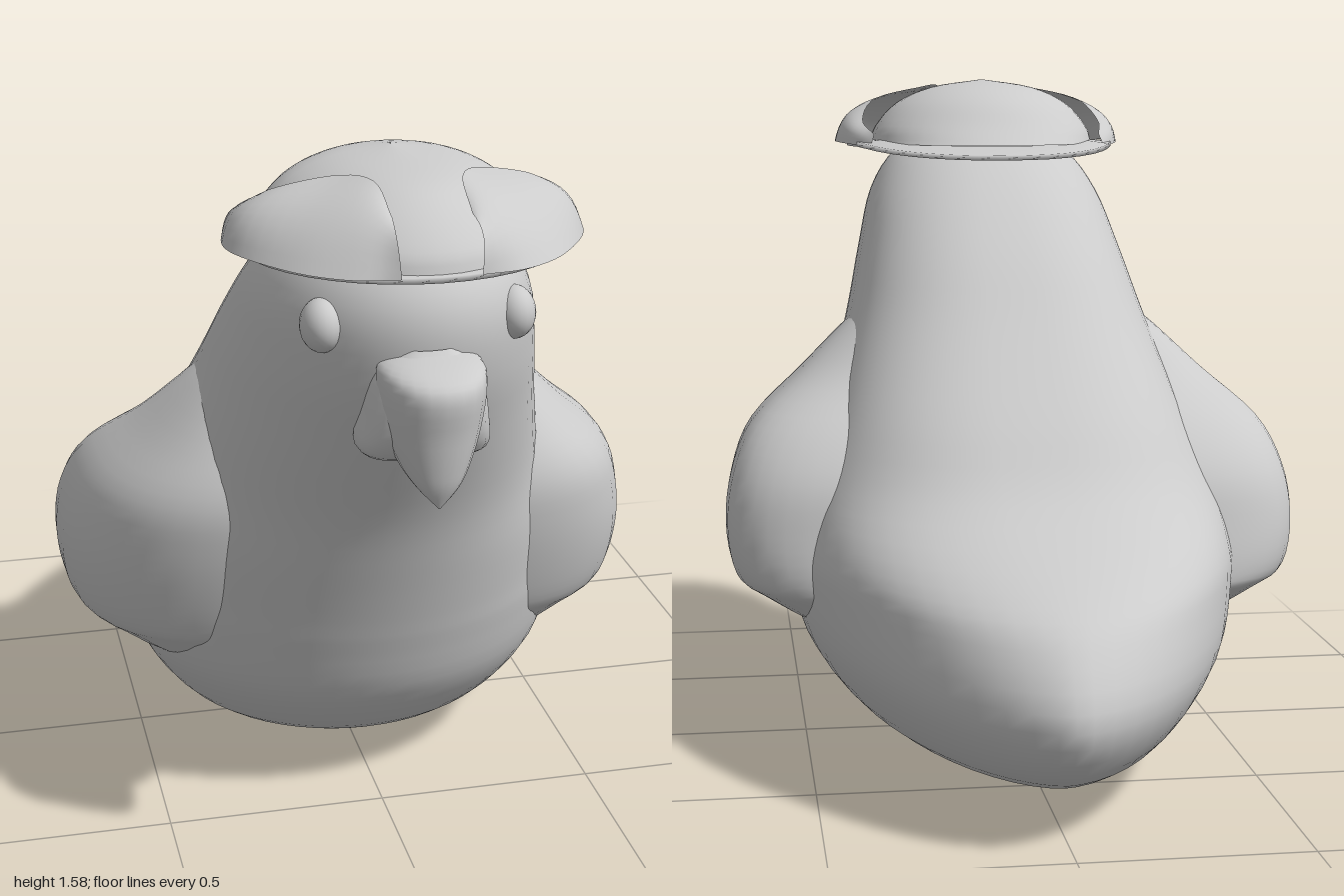
import * as THREE from 'three';

const material = new THREE.MeshStandardMaterial({ color: 0xcccccc, roughness: 0.8, side: THREE.DoubleSide });

function addMesh(parent, name, geometry) {
  const mesh = new THREE.Mesh(geometry, material);
  mesh.name = name;
  parent.add(mesh);
  return mesh;
}

// Shared grid builder: at(row, column) gives a point, columns may wrap around
function surface(rows, cols, wrap, at) {
  const pos = [], index = [];
  for (let i = 0; i < rows; i++) for (let j = 0; j < cols; j++) pos.push(...at(i, j));
  for (let i = 0; i < rows - 1; i++) {
    for (let j = 0; j < (wrap ? cols : cols - 1); j++) {
      const k = (j + 1) % cols;
      const a = i * cols + j, b = i * cols + k, c = b + cols, d = a + cols;
      index.push(a, b, c, a, c, d);
    }
  }
  const geometry = new THREE.BufferGeometry();
  geometry.setAttribute('position', new THREE.Float32BufferAttribute(pos, 3));
  geometry.setIndex(index);
  geometry.computeVertexNormals();
  return geometry;
}

// Loft of horizontal slices. Station: [y, halfWidth, zFront, zBack, zWidest, backPower]
function loft(stations, { cx = 0, front = 1, steps = 4, segments = 40, lift = () => 0 } = {}) {
  const spline = (cols) => new THREE.CatmullRomCurve3(
    stations.map((s) => new THREE.Vector3(s[cols[0]], s[cols[1]], s[cols[2]])), false, 'catmullrom', 0.5);
  const first = spline([0, 1, 2]), second = spline([3, 4, 5]);
  const rows = (stations.length - 1) * steps + 1;
  const power = (v, p) => Math.sign(v) * Math.pow(Math.abs(v), p);
  return surface(rows, segments, true, (i, j) => {
    const { x: y, y: w, z: zf } = first.getPoint(i / (rows - 1));
    const { x: zb, y: zc, z: back } = second.getPoint(i / (rows - 1));
    const a = (j / segments) * Math.PI * 2, c = Math.cos(a);
    const p = c > 0 ? front : back;
    const z = zc + power(c, p) * (c > 0 ? zf - zc : zc - zb);
    return [cx + Math.max(w, 0.001) * power(Math.sin(a), p), y + lift(z), z];
  });
}

export function createModel() {
  const bird = new THREE.Group();
  bird.name = 'bird';

  // Body, tail and head in one smooth skin
  addMesh(bird, 'body', loft([
    [0.005, 0.001, 0.02, -0.06, 0, 1],
    [0.025, 0.14, 0.16, -0.3, 0, 1],
    [0.06, 0.26, 0.25, -0.62, 0, 1.1],
    [0.13, 0.4, 0.37, -0.89, 0, 1.2],
    [0.27, 0.5, 0.495, -1, 0, 1.2],
    [0.42, 0.53, 0.555, -0.92, 0, 1.15],
    [0.51, 0.52, 0.585, -0.78, 0.02, 1],
    [0.64, 0.49, 0.63, -0.51, 0.08, 0.85],
    [0.8, 0.43, 0.69, -0.35, 0.16, 0.78],
    [1, 0.37, 0.79, -0.15, 0.3, 0.78],
    [1.16, 0.33, 0.86, 0, 0.42, 0.8],
    [1.3, 0.29, 0.875, 0.16, 0.52, 0.85],
    [1.4, 0.22, 0.82, 0.31, 0.56, 0.9],
    [1.46, 0.1, 0.7, 0.45, 0.58, 1],
    [1.47, 0.001, 0.59, 0.57, 0.58, 1],
  ], { segments: 56 }));

  // Folded wings bulging from the sides
  for (const side of [1, -1]) {
    addMesh(bird, side > 0 ? 'leftWing' : 'rightWing', loft([
      [0.22, 0.02, 0.14, 0.0, 0.07, 0.9],
      [0.28, 0.22, 0.27, -0.19, 0.04, 0.85],
      [0.37, 0.36, 0.36, -0.29, 0, 0.75],
      [0.42, 0.415, 0.4, -0.3, -0.02, 0.7],
      [0.53, 0.435, 0.44, -0.28, -0.02, 0.7],
      [0.65, 0.42, 0.47, -0.25, 0, 0.75],
      [0.76, 0.37, 0.48, -0.17, 0.06, 0.8],
      [0.87, 0.25, 0.45, -0.04, 0.14, 0.9],
      [1, 0.11, 0.38, 0.06, 0.2, 1],
      [1.06, 0.01, 0.28, 0.18, 0.23, 1],
    ], { cx: side * 0.25, front: 0.8 }));

    const eye = addMesh(bird, side > 0 ? 'leftEye' : 'rightEye', new THREE.SphereGeometry(0.056, 20, 14));
    eye.scale.x = 0.8;
    eye.position.set(side * 0.2, 1.28, 0.765);
  }

  // Hooked beak on a wide base
  const beak = new THREE.Group();
  beak.name = 'beak';
  bird.add(beak);
  addMesh(beak, 'beakBase', loft([
    [1.0, 0.08, 0.82, 0.7, 0.76, 1],
    [1.025, 0.135, 0.885, 0.7, 0.78, 1],
    [1.1, 0.13, 0.93, 0.7, 0.78, 1],
    [1.2, 0.11, 0.92, 0.7, 0.78, 1],
    [1.25, 0.06, 0.88, 0.7, 0.78, 1],
  ], { front: 0.6, segments: 24 }));
  addMesh(beak, 'beakHook', loft([
    [0.94, 0.002, 0.951, 0.947, 0.949, 1],
    [0.985, 0.045, 0.97, 0.91, 0.93, 1],
    [1.03, 0.075, 0.98, 0.86, 0.89, 1],
    [1.1, 0.1, 0.99, 0.8, 0.86, 1],
    [1.19, 0.11, 1.0, 0.8, 0.86, 1],
    [1.225, 0.1, 0.95, 0.8, 0.85, 1],
    [1.245, 0.04, 0.87, 0.8, 0.83, 1],
  ], { front: 0.9, segments: 24 }));

  // Cap: thin brim dipping at the back, and a round crown
  const cap = new THREE.Group();
  cap.name = 'cap';
  bird.add(cap);
  const dip = (z) => -0.09 * Math.max(0, 0.42 - z);
  addMesh(cap, 'brim', loft([
    [1.405, 0.2, 0.82, 0.3, 0.56, 1],
    [1.408, 0.345, 0.94, 0.12, 0.62, 0.9],
    [1.42, 0.345, 0.94, 0.12, 0.62, 0.9],
    [1.428, 0.26, 0.85, 0.24, 0.58, 0.9],
  ], { steps: 1, lift: dip }));
  addMesh(cap, 'crown', loft([
    [1.415, 0.29, 0.93, 0.21, 0.55, 0.95],
    [1.46, 0.275, 0.91, 0.265, 0.54, 0.95],
    [1.52, 0.22, 0.84, 0.33, 0.53, 1],
    [1.56, 0.13, 0.74, 0.41, 0.52, 1],
    [1.58, 0.001, 0.521, 0.509, 0.515, 1],
  ]));

  // Two turned-up brim flaps, parted at the front
  const curve = (points) => new THREE.CatmullRomCurve3(points.map((p) => new THREE.Vector3(...p)), false, 'catmullrom', 0.5);
  const outer = curve([[0.3, 1.41, 0.38], [0.355, 1.415, 0.52], [0.372, 1.42, 0.68], [0.28, 1.42, 0.84], [0.18, 1.42, 0.92], [0.08, 1.42, 0.94]]);
  const inner = curve([[0.29, 1.44, 0.4], [0.31, 1.475, 0.53], [0.27, 1.53, 0.63], [0.15, 1.56, 0.67], [0.09, 1.565, 0.75], [0.08, 1.52, 0.86]]);
  for (const side of [1, -1]) {
    addMesh(cap, side > 0 ? 'leftFlap' : 'rightFlap', surface(9, 25, false, (i, j) => {
      // columns run so that the outside faces outward on both sides
      const t = side > 0 ? 1 - j / 24 : j / 24, v = i / 8;
      const p = outer.getPoint(t).lerp(inner.getPoint(t), v);
      const bulge = Math.sin(v * Math.PI) * Math.sin(Math.min(1, t * 1.6) * Math.PI / 2) * 0.03;
      const out = new THREE.Vector3(p.x, 0.3, p.z - 0.55).normalize().multiplyScalar(bulge);
      p.add(out);
      return [side * p.x, p.y, p.z];
    }));
  }

  return bird;
}
